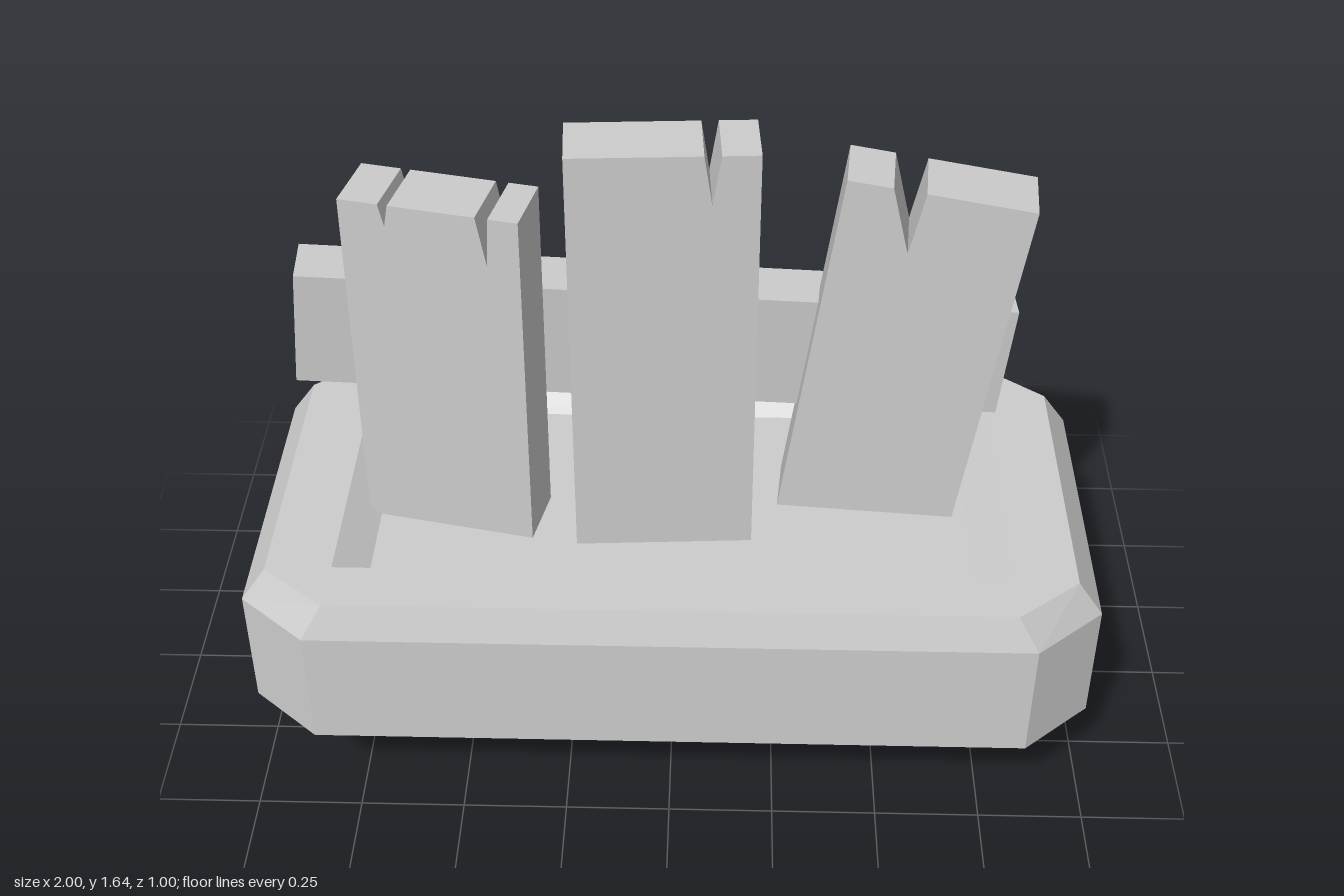
import * as THREE from 'three';

const stone = new THREE.MeshStandardMaterial({ color: 0xcccccc });
stone.name = 'pale grey';

// Rectangle with cut corners, counter-clockwise from above
function ring(y, X, Z, cx = X, cz = Z, z0 = 0) {
  return [[X, cz], [X, -cz], [cx, -Z], [-cx, -Z], [-X, -cz], [-X, cz], [-cx, Z], [cx, Z]]
    .map(([x, z]) => new THREE.Vector3(x, y, z + z0));
}

// Flat-faced solid joining successive rings, capped at both ends
function loft(rings) {
  const points = [];
  const tri = (a, b, c) => {
    const t = new THREE.Triangle(a, b, c);
    if (t.getArea() > 1e-6) points.push(a, b, c);
  };
  for (let r = 0; r + 1 < rings.length; r++) {
    const lo = rings[r], hi = rings[r + 1];
    for (let i = 0; i < 8; i++) {
      const j = (i + 1) % 8;
      tri(lo[i], lo[j], hi[j]);
      tri(lo[i], hi[j], hi[i]);
    }
  }
  const first = rings[0], last = rings[rings.length - 1];
  for (let i = 1; i < 7; i++) {
    tri(first[0], first[i + 1], first[i]);
    tri(last[0], last[i], last[i + 1]);
  }
  const geo = new THREE.BufferGeometry().setFromPoints(points);
  geo.computeVertexNormals();
  return geo;
}

// Upright plank with V cracks in its top edge: [left, tip, right, depth]
function plank(w, h, d, cracks) {
  const s = new THREE.Shape();
  s.moveTo(w / 2, h / 2);
  for (const [l, tip, r, depth] of [...cracks].reverse()) {
    s.lineTo(r, h / 2);
    s.lineTo(tip, h / 2 - depth);
    s.lineTo(l, h / 2);
  }
  s.lineTo(-w / 2, h / 2);
  s.lineTo(-w / 2, -h / 2);
  s.lineTo(w / 2, -h / 2);
  const geo = new THREE.ExtrudeGeometry(s, { depth: d, bevelEnabled: false });
  return geo.translate(0, 0, -d / 2);
}

export function createModel() {
  const model = new THREE.Group();
  model.name = 'brokenFence';

  const add = (name, geo, pos = [0, 0, 0], rot = [0, 0, 0]) => {
    const mesh = new THREE.Mesh(geo, stone);
    mesh.name = name;
    mesh.position.set(...pos);
    mesh.rotation.set(...rot);
    model.add(mesh);
  };

  // Chamfered base with a sunken tray in its top
  add('base', loft([
    ring(0.24, 1, 0.5, 0.84, 0.365),
    ring(0.55, 1, 0.5, 0.84, 0.365),
    ring(0.635, 0.94, 0.472, 0.79, 0.355),
    ring(0.635, 0.785, 0.352, 0.785, 0.352, -0.008),
    ring(0.58, 0.708, 0.31, 0.708, 0.31, -0.008),
  ]));

  // Three cracked planks
  add('leftPlank',
    plank(0.41, 1.465, 0.155, [[-0.112, -0.1, -0.09, 0.055], [0.108, 0.13, 0.137, 0.12]]),
    [-0.518, 0.737, 0.048], [0, -0.21, -0.006]);
  add('middlePlank',
    plank(0.416, 1.467, 0.15, [[0.087, 0.105, 0.124, 0.12]]),
    [-0.024, 0.906, 0.098], [0, 0.057, 0]);
  add('rightPlank',
    plank(0.42, 1.46, 0.15, [[-0.108, -0.046, -0.035, 0.16]]),
    [0.493, 0.763, -0.025], [0.01, -0.085, -0.132]);

  // Cross rail behind the planks
  add('crossRail', new THREE.BoxGeometry(1.67, 0.3, 0.128),
    [-0.047, 1.015, -0.087], [0.03, 0.063, -0.09]);

  return model;
}
